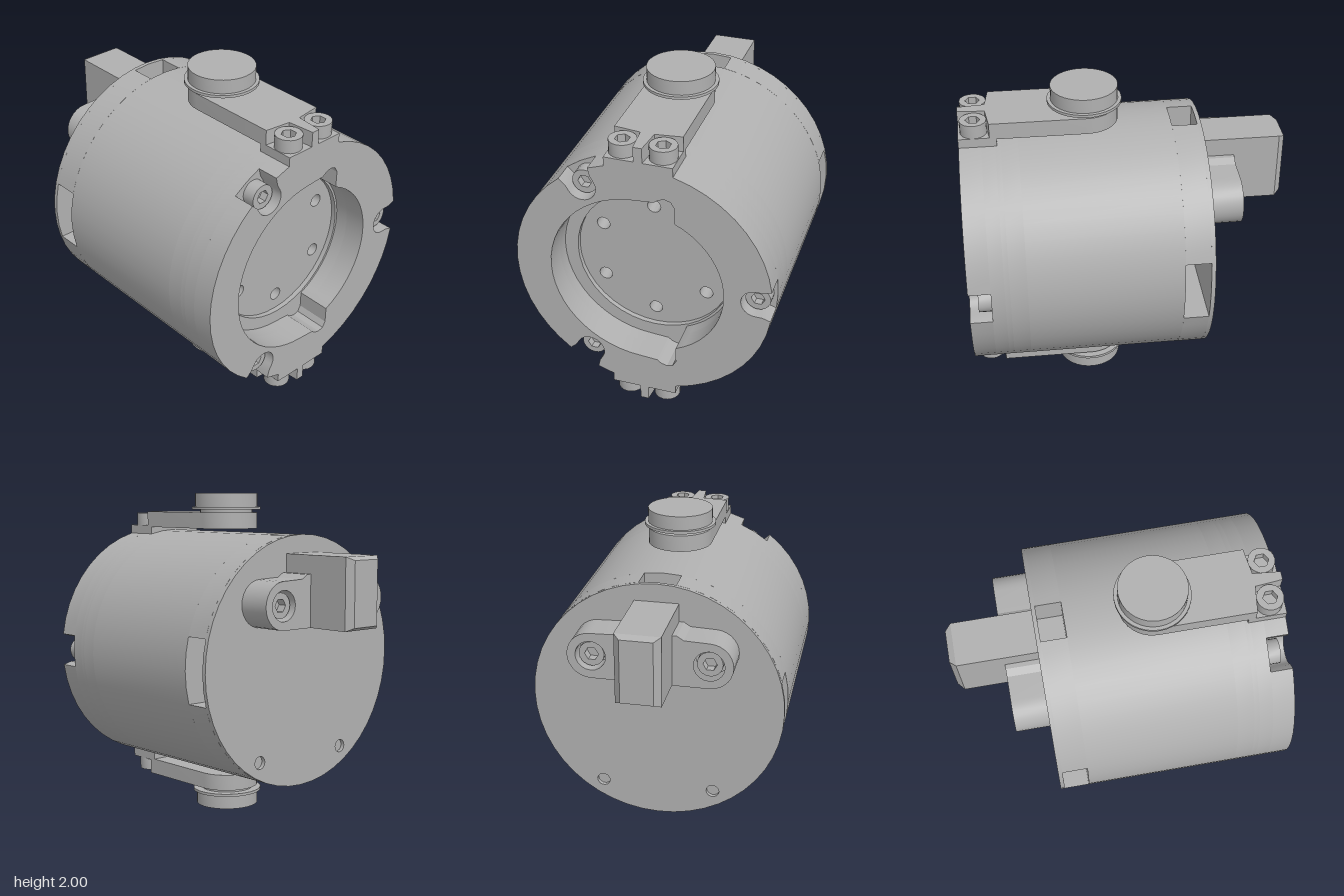
import * as THREE from 'three';
import { toCreasedNormals } from 'three/addons/utils/BufferGeometryUtils.js';

const R = 0.76; // body radius
const metal = new THREE.MeshStandardMaterial({ color: 0xb0b0b0 });
metal.name = 'grey metal';

function add(parent, name, geo) {
  const mesh = new THREE.Mesh(toCreasedNormals(geo, 0.5), metal);
  mesh.name = name;
  parent.add(mesh);
  return mesh;
}

// points along an arc, angles in degrees
function arc(cx, cy, r, from, to, n = 36) {
  const pts = [];
  for (let i = 0; i <= n; i++) {
    const a = THREE.MathUtils.degToRad(from + ((to - from) * i) / n);
    pts.push(new THREE.Vector2(cx + r * Math.cos(a), cy + r * Math.sin(a)));
  }
  return pts;
}
const circle = (cx, cy, r, n = 40) => arc(cx, cy, r, 0, 360, n).slice(0, -1);
const polar = (r, deg) => {
  const a = THREE.MathUtils.degToRad(deg);
  return [r * Math.cos(a), r * Math.sin(a)];
};
const pt = (x, y) => new THREE.Vector2(x, y);

function extrude(points, depth, holes = []) {
  const shape = new THREE.Shape(points);
  shape.holes = holes.map((h) => new THREE.Path(h));
  return new THREE.ExtrudeGeometry(shape, { depth, bevelEnabled: false });
}

// cross-section (u = -z, v = height above axis) extruded along x
function slab(parent, name, points, x0, x1, holes) {
  return add(parent, name, extrude(points, x1 - x0, holes).rotateY(Math.PI / 2).translate(x0, 0, 0));
}

// round outline with three open screw notches
function notchedOutline() {
  const pts = [];
  const half = THREE.MathUtils.radToDeg(Math.asin(0.1 / R));
  for (const c of [0, 120, 240]) {
    const inner = arc(0.665, 0, 0.085, 270, 90, 12);
    const notch = [pt(0.705, -0.085), ...inner, pt(0.705, 0.085)];
    notch.forEach((p) => p.rotateAround(pt(0, 0), THREE.MathUtils.degToRad(c)));
    pts.push(...notch, ...arc(0, 0, R, c + half, c + 120 - half, 14));
  }
  return pts;
}

// open recess with two corner bumps
function recessOutline() {
  const bump = [[0.2, 0.44], [0.2, 0.54], [0.18, 0.575], [0.145, 0.585], [0.11, 0.575], [0.085, 0.555]];
  return [
    ...arc(0, 0, 0.482, -65, 65, 20),
    ...bump.map(([u, v]) => pt(u, v)),
    ...arc(0, 0, 0.548, 92, 268, 26),
    ...bump.reverse().map(([u, v]) => pt(u, -v)),
  ];
}

// socket screw standing on z = 0, pointing to +z
function screw(parent, r, h) {
  const g = new THREE.Group();
  g.name = 'socketScrew';
  add(g, 'screwHead', extrude(circle(0, 0, r, 20), h, [circle(0, 0, r * 0.55, 6)]));
  add(g, 'socketFloor', extrude(circle(0, 0, r * 0.9, 20), h * 0.4));
  parent.add(g);
  return g;
}

function buildBody(root) {
  const body = new THREE.Group();
  body.name = 'body';
  const disc = circle(0, 0, R, 48);
  const sinkHoles = [240, 300].map((a) => circle(...polar(0.665, a > 270 ? 301 : 239), 0.04, 14));
  slab(body, 'endPlate', disc, -0.46, -0.435, sinkHoles);

  // slotted layer: through slot along z, shallow pocket on top
  const edge = THREE.MathUtils.radToDeg(Math.asin(0.195 / R));
  const top = THREE.MathUtils.radToDeg(Math.asin(0.11 / R));
  slab(body, 'upperSlotBlock', [
    ...arc(0, 0, R, edge, 90 - top, 12), pt(0.11, 0.55), pt(-0.11, 0.55),
    ...arc(0, 0, R, 90 + top, 180 - edge, 12),
  ], -0.435, -0.285);
  slab(body, 'lowerSlotBlock', arc(0, 0, R, 180 + edge, 360 - edge, 24), -0.435, -0.285);

  slab(body, 'barrel', disc, -0.285, 0.62);
  const bolts = [30, 90, 150, 210, 270, 330].map((a) => circle(...polar(0.36, a), 0.04, 14));
  slab(body, 'recessFloor', disc, 0.62, 0.72, bolts);
  slab(body, 'recessStep', disc, 0.72, 0.75, [circle(0, 0, 0.468)]);
  slab(body, 'recessWall', disc, 0.75, 0.83, [recessOutline()]);
  slab(body, 'rim', notchedOutline(), 0.83, 0.96, [recessOutline()]);

  for (const a of [0, 120, 240]) {
    const s = screw(body, 0.073, 0.075);
    const [u, v] = polar(0.665, a);
    s.rotation.y = Math.PI / 2;
    s.position.set(0.83, v, -u);
  }
  root.add(body);
}

function buildArm(root, flip) {
  const arm = new THREE.Group();
  arm.name = flip ? 'lowerArm' : 'upperArm';
  // plan view (x, z) extruded upwards, with a rib between the screws
  const plan = [
    pt(0.78, -0.195), pt(0.8, -0.04), pt(0.96, -0.025), pt(0.96, 0.025), pt(0.8, 0.04), pt(0.78, 0.195),
    ...arc(0.22, 0, 0.195, 90, 270, 20),
  ];
  add(arm, 'armPlate', extrude(plan, 0.1).rotateX(-Math.PI / 2).translate(0, 0.78, 0));
  add(arm, 'armFoot', new THREE.BoxGeometry(0.22, 0.09, 0.39).translate(0.85, 0.745, 0));
  for (const z of [-0.115, 0.115]) {
    const s = screw(arm, 0.078, 0.08);
    s.rotation.x = -Math.PI / 2;
    s.position.set(0.87, 0.79, z);
  }
  // stepped pivot button
  const profile = [[0, 0.87], [0.165, 0.87], [0.165, 0.898], [0.218, 0.898], [0.218, 0.915], [0.197, 0.915], [0.197, 1], [0, 1]];
  add(arm, 'pivotButton', new THREE.LatheGeometry(profile.map(([x, y]) => pt(x, y)), 36).translate(0.22, 0, 0));
  if (flip) arm.rotation.x = Math.PI;
  root.add(arm);
}

function buildConnector(root) {
  const connector = new THREE.Group();
  connector.name = 'connector';
  // chamfered plug box
  const box = new THREE.BoxGeometry(0.47, 0.42, 0.264).translate(-0.695, 0.44, 0);
  add(connector, 'plugBody', box);
  const tip = new THREE.CylinderGeometry(Math.SQRT1_2, Math.SQRT1_2, 1, 4, 1).rotateY(Math.PI / 4).rotateZ(Math.PI / 2);
  const p = tip.attributes.position;
  for (let i = 0; i < p.count; i++) {
    const out = p.getX(i) < 0;
    p.setXYZ(i, out ? -0.967 : -0.93, 0.44 + p.getY(i) * (out ? 0.38 : 0.42), p.getZ(i) * (out ? 0.19 : 0.264));
  }
  add(connector, 'plugTip', tip.toNonIndexed());

  // rounded screw lugs on both sides
  for (const s of [-1, 1]) {
    const outline = [pt(0.1, 0.23), ...arc(0.345, 0.37, 0.14, -90, 90, 14), pt(0.2, 0.515), pt(0.16, 0.54), pt(0.1, 0.54)];
    const bore = circle(0.345, 0.37, 0.09, 20);
    const flip = (list) => list.map((q) => pt(q.x * s, q.y));
    slab(connector, 'lug', flip(outline), -0.66, -0.45, [flip(bore)]);
    const sc = screw(connector, 0.075, 0.09);
    sc.rotation.y = -Math.PI / 2;
    sc.position.set(-0.54, 0.37, -0.345 * s);
    slab(connector, 'lugFloor', circle(0.345 * s, 0.37, 0.1, 20), -0.54, -0.45);
  }
  root.add(connector);
}

export function createModel() {
  const model = new THREE.Group();
  model.name = 'cylindricalHousing';
  const lifted = new THREE.Group();
  lifted.name = 'housingAssembly';
  lifted.position.y = 1; // axis height
  buildBody(lifted);
  buildArm(lifted, false);
  buildArm(lifted, true);
  buildConnector(lifted);
  model.add(lifted);
  return model;
}
